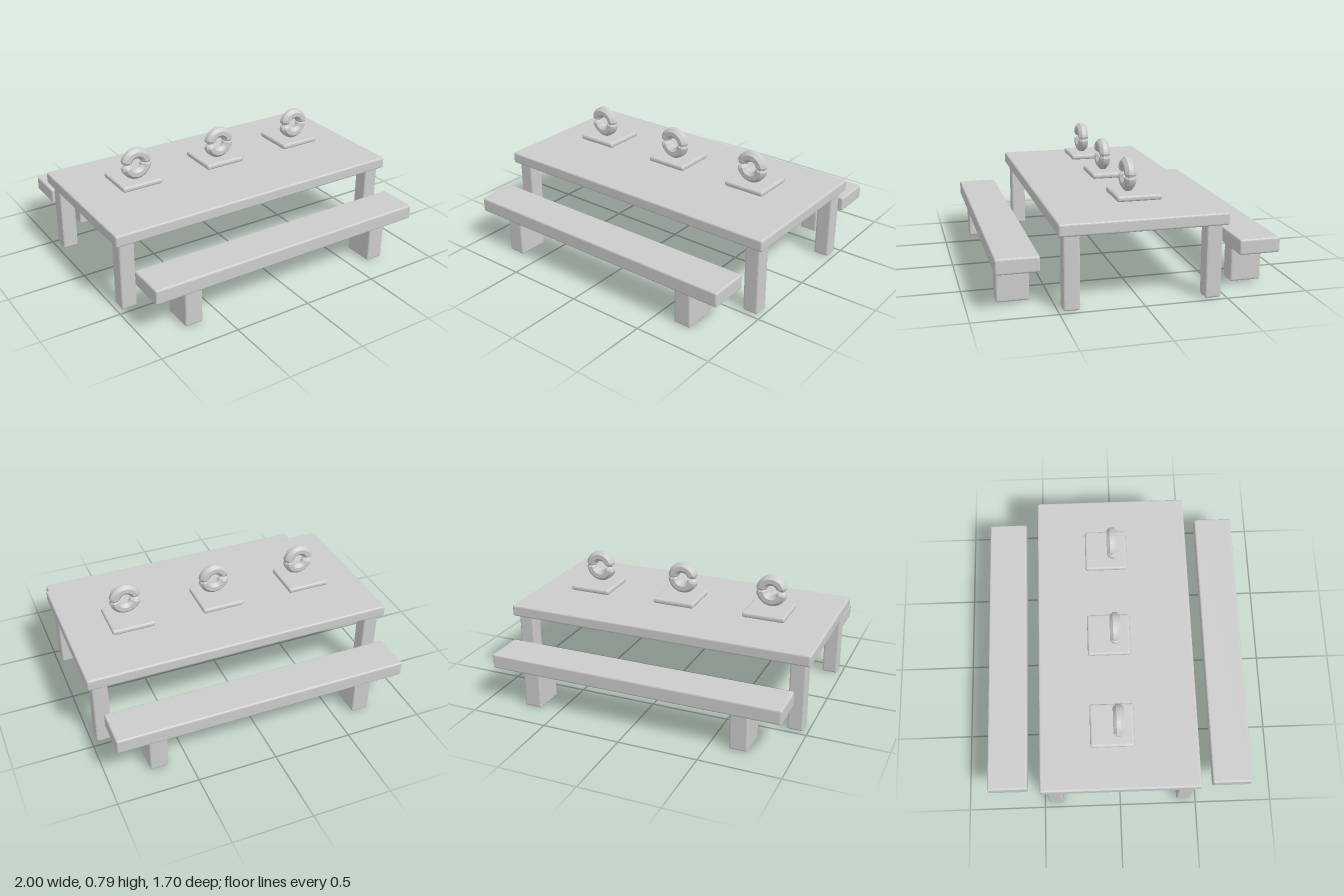
import * as THREE from 'three';
import { RoundedBoxGeometry } from 'three/addons/geometries/RoundedBoxGeometry.js';

export function createModel() {
  const model = new THREE.Group();
  const grey = new THREE.MeshStandardMaterial({ color: 0xcccccc, flatShading: true });
  grey.name = 'grey';

  // Bevelled block given by its extents along each axis
  function block(name, [x0, x1], [y0, y1], [z0, z1], bevel = 0.012) {
    const geometry = new RoundedBoxGeometry(x1 - x0, y1 - y0, z1 - z0, 2, bevel);
    const mesh = new THREE.Mesh(geometry, grey);
    mesh.name = name;
    mesh.position.set((x0 + x1) / 2, (y0 + y1) / 2, (z0 + z1) / 2);
    model.add(mesh);
  }
  const span = (centre, size) => [centre - size / 2, centre + size / 2];

  // Table
  block('tableTop', [-1, 1], [0.445, 0.52], [-0.5, 0.5]);
  for (const sx of [-1, 1]) {
    for (const sz of [-1, 1]) {
      block('tableLeg', span(sx * 0.92, 0.1), [0, 0.455], span(sz * 0.422, 0.097));
    }
  }

  // Benches on both long sides
  for (const sz of [-1, 1]) {
    block('benchSeat', [-0.94, 0.94], [0.235, 0.33], span(sz * 0.72, 0.255));
    for (const sx of [-1, 1]) {
      block('benchLeg', span(sx * 0.682, 0.115), [0, 0.245], span(sz * 0.722, 0.196));
    }
  }

  // Ring with an eight-sided tube, pinched on the right-hand side and nicked opposite
  const R = 0.068, r = 0.036, steps = 40, sides = 8;
  const ringGeometry = new THREE.TorusGeometry(R, r, sides, steps);
  const pos = ringGeometry.attributes.position;
  for (let j = 0; j <= sides; j++) {
    const v = ((j + 0.5) / sides) * Math.PI * 2;
    for (let i = 0; i <= steps; i++) {
      const u = (i / steps) * Math.PI * 2;
      const pinch = i === steps / 2 ? 0.3 : Math.abs(i - steps / 2) === 1 ? 0.8 : 1;
      const nick = i % steps === 0 ? 0.8 : 1;
      const radius = R + r * pinch * nick * Math.cos(v);
      pos.setXYZ(j * (steps + 1) + i,
        radius * Math.cos(u), radius * Math.sin(u), r * pinch * nick * Math.sin(v));
    }
  }
  ringGeometry.computeVertexNormals();

  // Three plates, each with a standing ring
  for (const x of [-0.603, 0, 0.6]) {
    block('plate', span(x, 0.276), [0.549, 0.584], span(-0.041, 0.276), 0.014);
    const ring = new THREE.Mesh(ringGeometry, grey);
    ring.name = 'ring';
    ring.position.set(x, 0.685, 0);
    model.add(ring);
  }
  return model;
}
